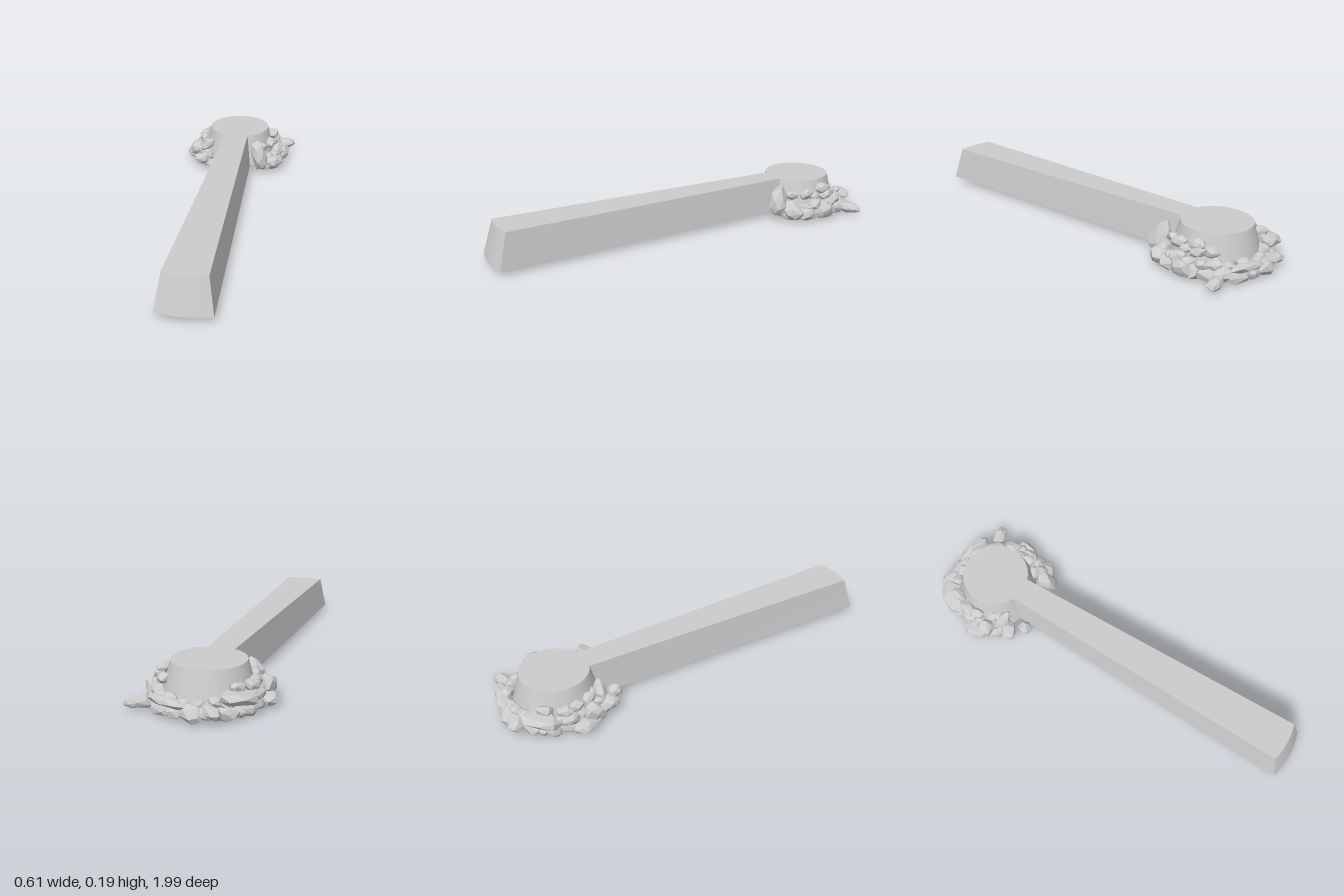
import * as THREE from 'three';
import { toCreasedNormals } from 'three/addons/utils/BufferGeometryUtils.js';
import { ConvexGeometry } from 'three/addons/geometries/ConvexGeometry.js';

const HEAD_Z = -0.71;
const material = new THREE.MeshStandardMaterial({ color: 0xcccccc });

function seeded(seed) {
  return () => {
    seed = (seed * 16807) % 2147483647;
    return seed / 2147483647;
  };
}

// Keyhole outline: round head at the back, widening walkway with a bowed front end
function outline(radius, neckHalf, endHalf, cornerZ, bow) {
  const pts = [];
  const gap = Math.asin(neckHalf / radius), arcSteps = 40, endSteps = 8;
  for (let i = 0; i <= endSteps; i++) {
    const t = 1 - (2 * i) / endSteps;
    pts.push(new THREE.Vector2(-endHalf * t, cornerZ + bow * (1 - t * t)));
  }
  for (let i = 0; i <= arcSteps; i++) {
    const a = gap + ((2 * Math.PI - 2 * gap) * i) / arcSteps;
    pts.push(new THREE.Vector2(radius * Math.sin(a), HEAD_Z + radius * Math.cos(a)));
  }
  return pts;
}

// Sloped walls between two outlines, with a cap on each
function loft(low, lowY, high, highY) {
  const pos = [], n = low.length;
  const put = (p, y) => pos.push(p.x, y, p.y);
  for (let i = 0; i < n; i++) {
    const j = (i + 1) % n;
    put(low[i], lowY); put(low[j], lowY); put(high[j], highY);
    put(low[i], lowY); put(high[j], highY); put(high[i], highY);
  }
  const cap = (pts, y, up) => {
    for (const [a, b, c] of THREE.ShapeUtils.triangulateShape(pts, [])) {
      const cross = (pts[b].x - pts[a].x) * (pts[c].y - pts[a].y) - (pts[b].y - pts[a].y) * (pts[c].x - pts[a].x);
      const order = (cross < 0) === up ? [a, b, c] : [a, c, b];
      order.forEach((k) => put(pts[k], y));
    }
  };
  cap(low, lowY, false);
  cap(high, highY, true);
  const geo = new THREE.BufferGeometry();
  geo.setAttribute('position', new THREE.Float32BufferAttribute(pos, 3));
  geo.computeVertexNormals();
  return toCreasedNormals(geo, 0.5);
}

// Faceted stone: hull of jittered points on an ellipsoid, flattened where it meets the ground
function rock(name, [x, y, z], size, [rx, ry, rz], seed) {
  const rand = seeded(seed * 7919 + 13);
  for (let i = 0; i < 5; i++) rand();
  const turn = new THREE.Euler(rx, ry, rz, 'YXZ');
  const pts = [];
  const count = 20;
  for (let i = 0; i < count; i++) {
    const h = 1 - (2 * (i + 0.5)) / count, r = Math.sqrt(1 - h * h);
    const a = i * 2.4 + rand() * 0.7, k = 0.85 + rand() * 0.27;
    const p = new THREE.Vector3(r * Math.cos(a) * size[0], h * size[1], r * Math.sin(a) * size[2]);
    p.multiplyScalar(k).applyEuler(turn).add(new THREE.Vector3(x, y, z));
    p.y = Math.max(p.y, 0.002 + rand() * 0.006);
    p.z = Math.max(p.z, -1);
    pts.push(p);
  }
  const mesh = new THREE.Mesh(new ConvexGeometry(pts), material);
  mesh.name = name;
  return mesh;
}

export function createModel() {
  const model = new THREE.Group();
  model.name = 'jetty';

  const body = new THREE.Mesh(
    loft(outline(0.208, 0.083, 0.124, 0.98, 0.018), 0.03, outline(0.163, 0.062, 0.098, 0.937, 0.013), 0.195),
    material);
  body.name = 'walkwayAndHead';
  model.add(body);

  const rocks = new THREE.Group();
  rocks.name = 'rockArmour';
  model.add(rocks);

  // Tiers of stones around the head, leaving the walkway clear
  const tiers = [
    { count: 17, radius: 0.228, y: 0.035, size: 0.046 },
    { count: 18, radius: 0.222, y: 0.075, size: 0.036 },
    { count: 15, radius: 0.198, y: 0.122, size: 0.031 },
  ];
  const rand = seeded(4242);
  tiers.forEach((t, ti) => {
    for (let i = 0; i < t.count; i++) {
      const a = 0.72 + ((2 * Math.PI - 1.44) * (i + 0.2 + rand() * 0.6)) / t.count;
      const back = Math.max(0, -Math.cos(a));
      if (ti === 2 && back > 0.75) continue;
      const r = t.radius + (rand() - 0.5) * 0.025;
      const s = t.size * (0.8 + rand() * 0.4);
      rocks.add(rock('rock', [r * Math.sin(a), t.y + (rand() - 0.5) * 0.015, HEAD_Z + r * Math.cos(a)],
        [s * 1.2, s * 0.75, s * 0.9], [(rand() - 0.5) * 0.6, a + (rand() - 0.5) * 0.8, (rand() - 0.5) * 0.6],
        ti * 100 + i + 1));
    }
  });

  // Larger slabs and pointed stones: position, radii, rotation
  const slabs = [
    [[0.135, 0.1, -0.5], [0.045, 0.085, 0.055], [-0.5, 0.5, 0.1]],
    [[0.2, 0.05, -0.55], [0.06, 0.042, 0.05], [0, 0.4, 0]],
    [[0.25, 0.035, -0.88], [0.065, 0.028, 0.035], [0, 0.3, 0]],
    [[0.19, 0.15, -0.74], [0.035, 0.03, 0.045], [0, 0, -0.5]],
    [[0.255, 0.05, -0.71], [0.035, 0.04, 0.06], [0, 0, 0]],
    [[0.1, 0.07, -0.93], [0.1, 0.025, 0.04], [0.4, -0.2, 0.1]],
    [[-0.18, 0.09, -0.86], [0.1, 0.035, 0.055], [0, 0.9, 0.15]],
    [[-0.09, 0.05, -0.945], [0.06, 0.03, 0.04], [0.3, -0.6, 0]],
    [[-0.25, 0.035, -0.68], [0.055, 0.032, 0.07], [0, 0.1, 0]],
    [[-0.23, 0.08, -0.63], [0.045, 0.045, 0.045], [0, 0, 0]],
    [[-0.18, 0.06, -0.53], [0.06, 0.035, 0.04], [0, 0.5, 0.1]],
    [[-0.16, 0.13, -0.56], [0.055, 0.02, 0.03], [0.2, 0, 0.75]],
    [[-0.12, 0.055, -0.47], [0.035, 0.035, 0.04], [0, 0.3, 0]],
  ];
  slabs.forEach(([p, s, r], i) => rocks.add(rock('slab', p, s, r, 500 + i)));

  return model;
}
